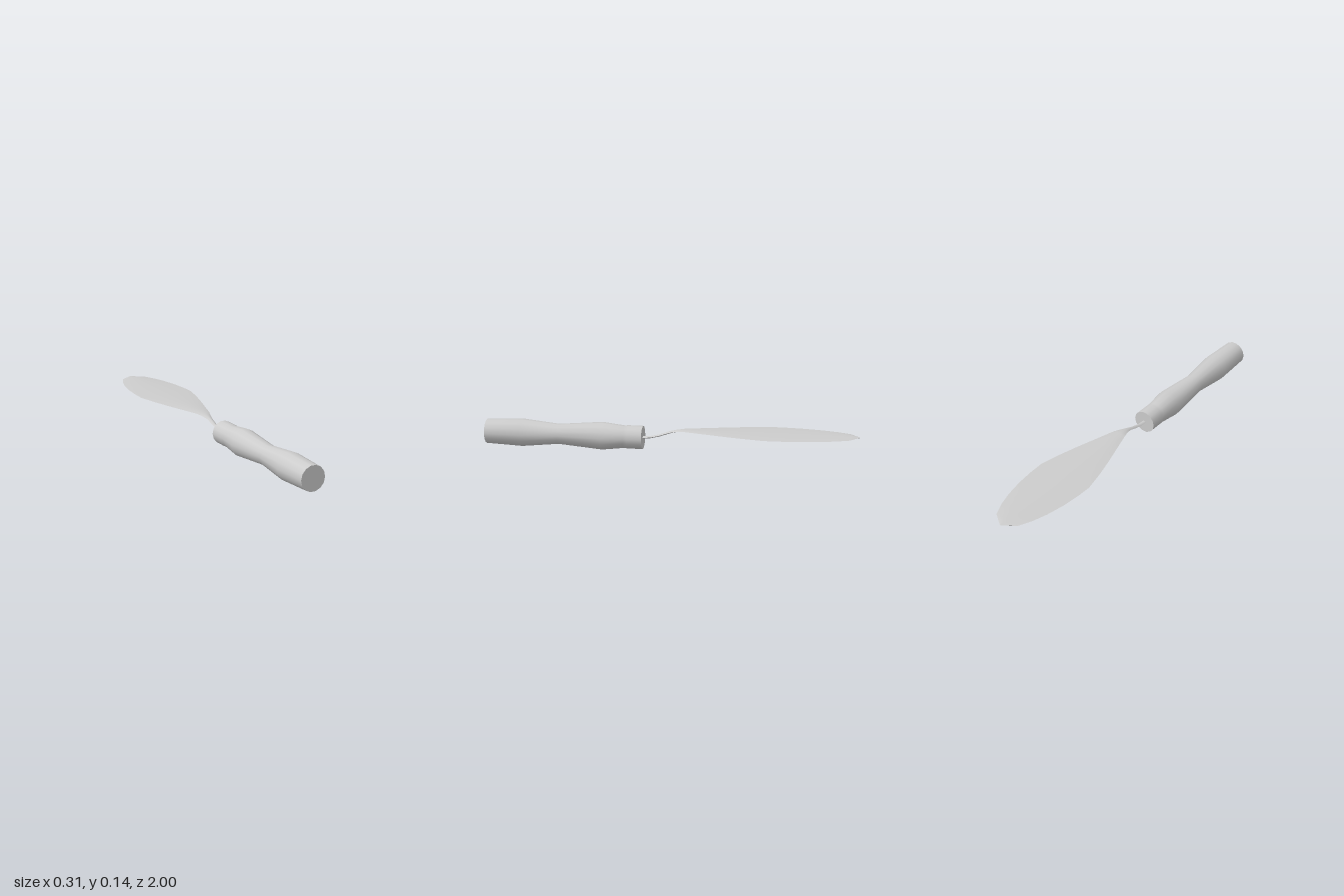
import * as THREE from 'three';

const paleGrey = new THREE.MeshStandardMaterial({ color: 0xcccccc });
paleGrey.name = 'paleGrey';

// Blade and tang stations: [z, half width, centre height, half thickness]
const stations = [
  [0.18, 0.012, 0.073, 0.006], [0.14, 0.012, 0.073, 0.006], [0.1, 0.012, 0.076, 0.006],
  [0.05, 0.012, 0.088, 0.006], [0.0, 0.014, 0.106, 0.006], [-0.04, 0.024, 0.116, 0.005],
  [-0.08, 0.037, 0.121, 0.005], [-0.2, 0.073, 0.121, 0.005], [-0.3, 0.103, 0.121, 0.005],
  [-0.4, 0.13, 0.121, 0.005], [-0.52, 0.156, 0.121, 0.005], [-0.6, 0.154, 0.121, 0.005],
  [-0.7, 0.145, 0.121, 0.005], [-0.8, 0.126, 0.121, 0.005], [-0.88, 0.102, 0.121, 0.005],
  [-0.95, 0.07, 0.121, 0.005], [-1.0, 0.001, 0.121, 0.002],
];

// One lens-curved face of the blade; side is +1 for the top, -1 for the underside
function bladeFace(name, side) {
  const across = 8, row = across + 1, pos = [], index = [];
  stations.forEach(([z, w, y, h], i) => {
    for (let j = 0; j <= across; j++) {
      const t = (j / across) * 2 - 1;
      pos.push(t * w, y + side * h * (1 - t * t), z);
      if (i === stations.length - 1 || j === across) continue;
      const a = i * row + j, b = a + 1, c = b + row, d = a + row;
      if (side > 0) index.push(a, b, c, a, c, d);
      else index.push(a, c, b, a, d, c);
    }
  });
  const geo = new THREE.BufferGeometry();
  geo.setAttribute('position', new THREE.Float32BufferAttribute(pos, 3));
  geo.setIndex(index);
  geo.computeVertexNormals();
  const mesh = new THREE.Mesh(geo, paleGrey);
  mesh.name = name;
  return mesh;
}

export function createModel() {
  const model = new THREE.Group();
  model.name = 'paletteKnife';

  // Turned handle with two swells and a collar, lying along z
  const sides = 14, start = Math.PI / sides;
  const profile = [
    [0.062, 0.14], [0.062, 0.22], [0.06, 0.24], [0.0743, 0.36],
    [0.054, 0.6], [0.0743, 0.8], [0.066, 1.0],
  ].map(([r, z]) => new THREE.Vector2(r, z));
  const handle = new THREE.Group();
  handle.name = 'handle';
  handle.position.y = 0.0725;
  const grip = new THREE.Mesh(
    new THREE.LatheGeometry(profile, sides, start).rotateX(Math.PI / 2), paleGrey);
  grip.name = 'grip';
  handle.add(grip);

  // Flat ends of the handle
  const endCap = (name, r, z, turn) => {
    const cap = new THREE.Mesh(
      new THREE.CircleGeometry(r, sides, Math.PI / 2 + start).rotateY(turn), paleGrey);
    cap.name = name;
    cap.position.z = z;
    handle.add(cap);
  };
  endCap('buttEnd', 0.066, 1.0, 0);
  endCap('collarEnd', 0.062, 0.14, Math.PI);
  model.add(handle);

  // Cranked tang running into the leaf-shaped blade
  const blade = new THREE.Group();
  blade.name = 'blade';
  blade.add(bladeFace('bladeTop', 1), bladeFace('bladeUnderside', -1));
  model.add(blade);

  return model;
}
